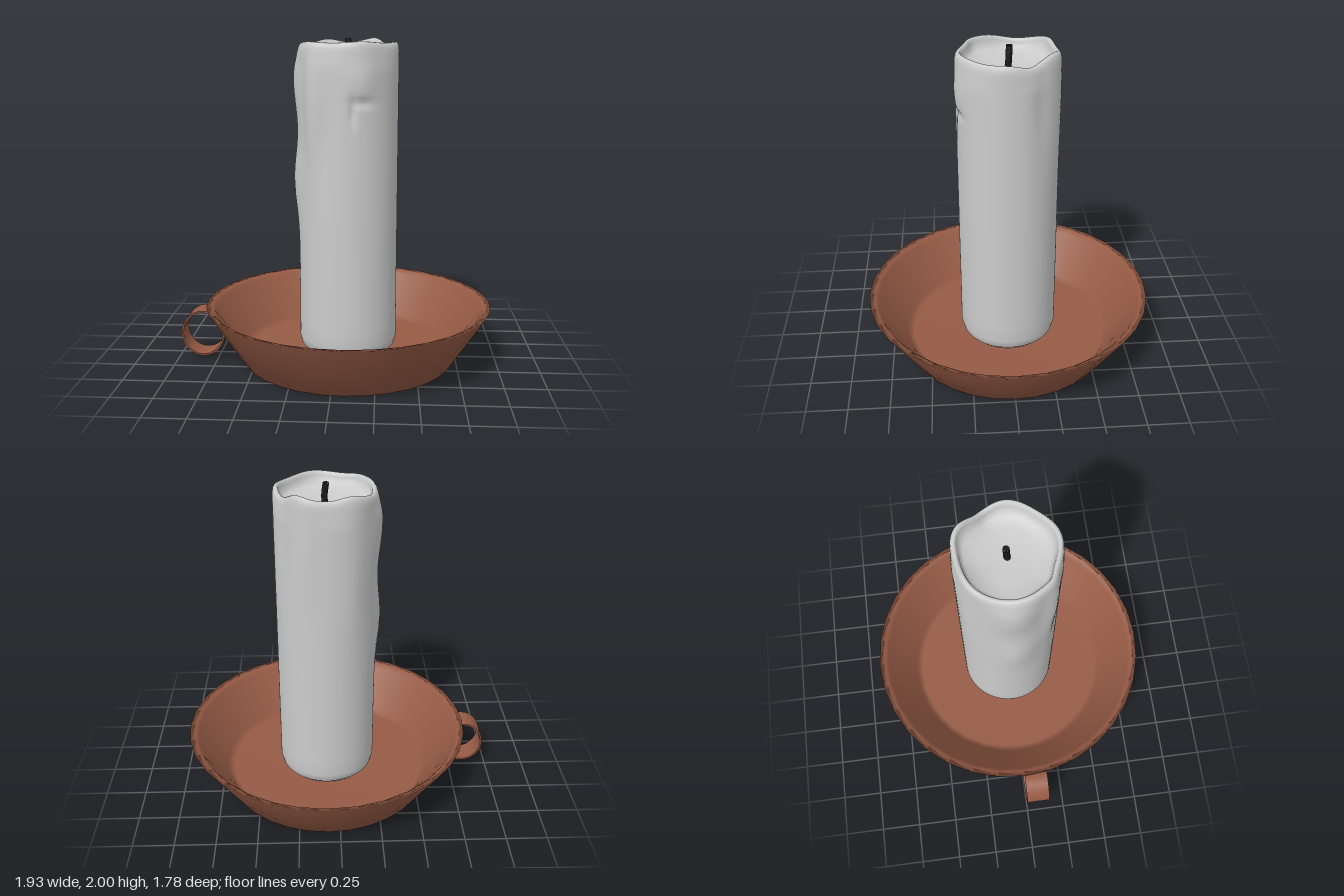
import * as THREE from 'three';
import { mergeVertices } from 'three/addons/utils/BufferGeometryUtils.js';

const CX = 0.07; // axis of dish and candle

const clay = new THREE.MeshStandardMaterial({ color: 0x965b45 });
const wax = new THREE.MeshStandardMaterial({ color: 0xcccccc });
const black = new THREE.MeshStandardMaterial({ color: 0x1a1a1a });

const profile = (pairs) => pairs.map(([r, y]) => new THREE.Vector2(r, y));

function addMesh(group, name, geometry, material, x = 0, y = 0, z = 0) {
  const mesh = new THREE.Mesh(geometry, material);
  mesh.name = name;
  mesh.position.set(x, y, z);
  group.add(mesh);
  return mesh;
}

// Smooth bump around an angle (0 = front, PI/2 = left side) and a height
function bump(a, y, a0, y0, wa, wy) {
  const d = Math.atan2(Math.sin(a - a0), Math.cos(a - a0));
  return Math.exp(-((d / wa) ** 2) - ((y - y0) / wy) ** 2);
}

// How far melted wax runs push the wall out or in
function waxOffset(a, y) {
  return 0.032 * bump(a, y, -1.55, 1.75, 0.4, 0.22)
    + 0.03 * bump(a, y, -1.5, 1.15, 0.35, 0.22)
    + 0.025 * bump(a, y, -0.75, 1.65, 0.2, 0.35)
    - 0.015 * bump(a, y, -0.45, 1.4, 0.15, 0.3)
    + 0.016 * bump(a, y, 0.32, 1.76, 0.28, 0.12)
    - 0.022 * bump(a, y, 0.12, 1.58, 0.05, 0.08)
    - 0.016 * bump(a, y, 0.32, 1.63, 0.2, 0.025)
    + 0.01 * bump(a, y, 2.75, 1.7, 0.2, 0.4)
    - 0.012 * bump(a, y, 2.2, 1.75, 0.2, 0.3)
    + 0.008 * bump(a, y, -2.6, 1.5, 0.25, 0.4);
}

// Uneven height of the melted rim
function rimOffset(a) {
  return 0.026 * bump(a, 0, 2.55, 0, 0.3, 1)
    + 0.022 * bump(a, 0, -2.65, 0, 0.3, 1)
    - 0.022 * bump(a, 0, 1.95, 0, 0.3, 1)
    - 0.022 * bump(a, 0, -1.85, 0, 0.4, 1)
    + 0.004 * Math.sin(5 * a);
}

function candleGeometry() {
  const pts = [[0, 0.065], [0.22, 0.065], [0.265, 0.075], [0.29, 0.1], [0.303, 0.15]];
  for (let y = 0.25; y < 1.2; y += 0.1) pts.push([0.303, y]);
  for (let y = 1.2; y < 1.93; y += 0.02) pts.push([0.303, y]);
  // rolled rim, then the melted bowl
  pts.push([0.302, 1.94], [0.298, 1.96], [0.29, 1.972], [0.28, 1.975], [0.27, 1.968],
    [0.264, 1.95], [0.258, 1.925], [0.235, 1.9], [0.16, 1.885], [0.08, 1.878], [0, 1.876]);
  const lathe = new THREE.LatheGeometry(profile(pts), 96);
  const pos = lathe.attributes.position;
  for (let i = 0; i < pos.count; i++) {
    const x = pos.getX(i), y = pos.getY(i), z = pos.getZ(i);
    const r = Math.hypot(x, z);
    if (r < 0.001) continue;
    const a = Math.atan2(x, z);
    const wall = THREE.MathUtils.smoothstep(r, 0.15, 0.27);
    const top = THREE.MathUtils.smoothstep(y, 1.8, 1.97) * wall;
    const lobes = 0.007 * top * (Math.sin(5 * a + 0.6) - 0.8);
    const k = (r + wall * waxOffset(a, y) + lobes) / r;
    pos.setXYZ(i, x * k, y + top * rimOffset(a), z * k);
  }
  lathe.deleteAttribute('uv');
  lathe.deleteAttribute('normal');
  const g = mergeVertices(lathe, 1e-5);
  g.computeVertexNormals();
  return g;
}

// Flat band bent into a loop, open along z
function handleGeometry(rx, ry, thickness, width) {
  const shape = new THREE.Shape().absellipse(0, 0, rx, ry, 0, Math.PI * 2);
  shape.holes.push(new THREE.Path().absellipse(0, 0, rx - thickness, ry - thickness, 0, Math.PI * 2));
  return new THREE.ExtrudeGeometry(shape, { depth: width, bevelEnabled: false, curveSegments: 32 });
}

export function createModel() {
  const model = new THREE.Group();
  model.name = 'candleInHolder';

  // Dish with flared wall and narrow lip
  const dish = profile([[0, 0], [0.66, 0], [0.892, 0.355], [0.86, 0.352],
    [0.835, 0.33], [0.66, 0.085], [0.62, 0.06], [0, 0.06]]);
  addMesh(model, 'dish', new THREE.LatheGeometry(dish, 32), clay, CX);

  // Finger loop on the side of the dish
  addMesh(model, 'handle', handleGeometry(0.135, 0.145, 0.011, 0.15), clay, -0.835, 0.175, 0);

  // Candle body with hollow melted top
  addMesh(model, 'candle', candleGeometry(), wax, CX);

  // Wick, slightly bent
  const wickPath = new THREE.CatmullRomCurve3([
    new THREE.Vector3(0, 1.86, 0), new THREE.Vector3(0.004, 1.92, -0.004), new THREE.Vector3(-0.005, 1.998, -0.008),
  ]);
  addMesh(model, 'wick', new THREE.TubeGeometry(wickPath, 6, 0.019, 10), black, CX);
  const cap = addMesh(model, 'wickTip', new THREE.CircleGeometry(0.019, 10), black, CX - 0.005, 1.998, -0.008);
  cap.rotation.x = -Math.PI / 2;

  return model;
}
